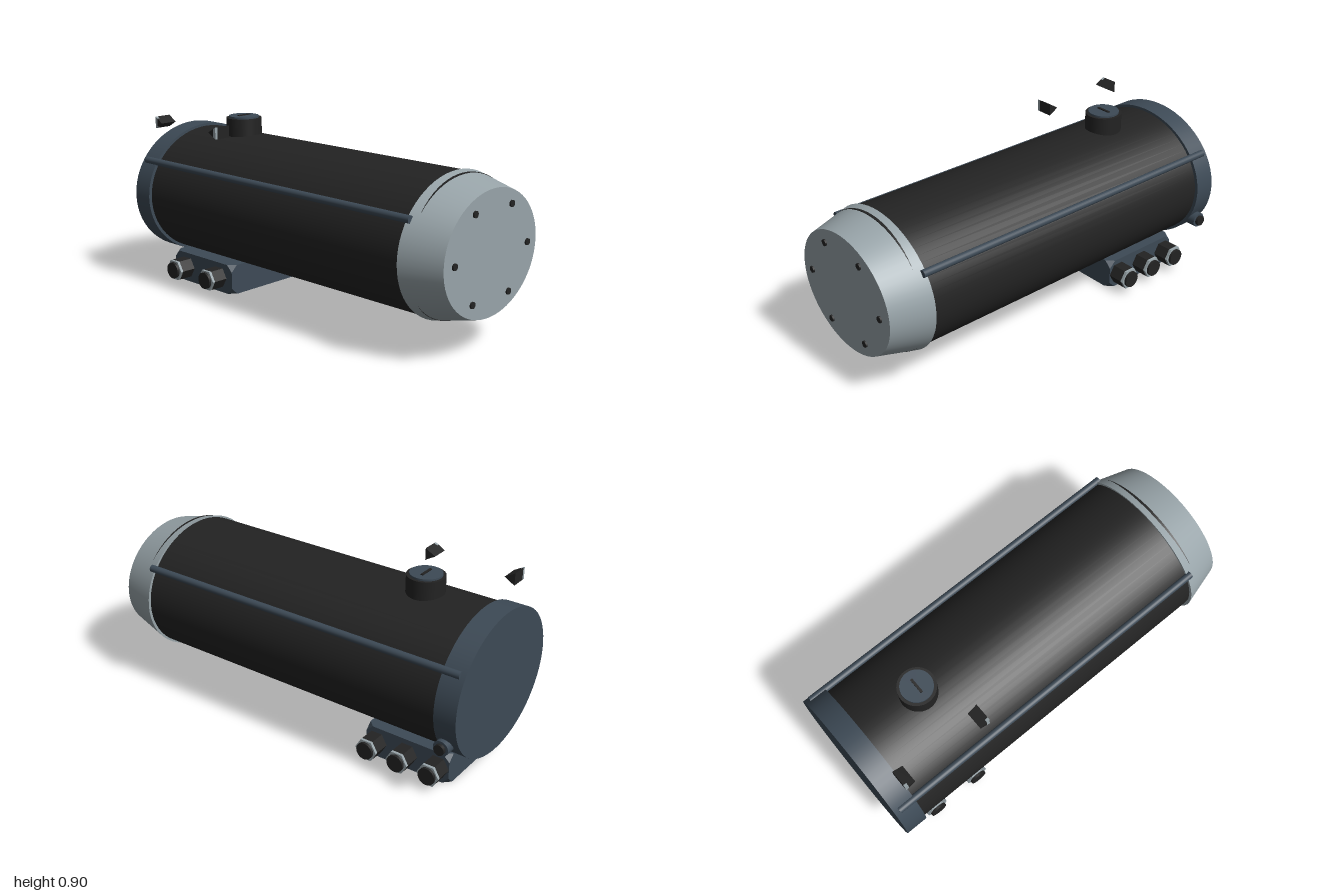
import * as THREE from 'three';
import { ConvexGeometry } from 'three/addons/geometries/ConvexGeometry.js';

const CY = 0.467, CZ = 0.004; // axis of the oval tank

export function createModel() {
  const model = new THREE.Group();
  model.name = 'tank';
  const material = (name, color) => {
    const m = new THREE.MeshStandardMaterial({ color });
    m.name = name;
    return m;
  };
  const black = material('black', 0x232323);
  const slate = material('slate', 0x3d4a56);
  const silver = material('silver', 0x98a4a9);
  const flatBlack = black, flatSilver = silver;

  const add = (name, geometry, mat, x = 0, y = 0, z = 0) => {
    const mesh = new THREE.Mesh(geometry, mat);
    mesh.name = name;
    mesh.position.set(x, y, z);
    model.add(mesh);
    return mesh;
  };
  // Oval drum along x; taper shrinks the +x end
  const drum = (name, mat, x0, x1, ry, rz, taper = 1) => {
    const g = new THREE.CylinderGeometry(taper, 1, x1 - x0, 64);
    g.rotateZ(-Math.PI / 2).scale(1, ry, rz);
    add(name, g, mat, (x0 + x1) / 2, CY, CZ);
  };
  // Round rod along z
  const zRod = (name, mat, x, y, z0, z1, r, sides = 24) => {
    let g = new THREE.CylinderGeometry(r, r, Math.abs(z1 - z0), sides);
    g.rotateX(Math.PI / 2);
    if (sides === 6) {
      g.rotateZ(Math.PI / 2); // corners to the sides
      g = g.toNonIndexed();
      g.computeVertexNormals();
    }
    add(name, g, mat, x, y, (z0 + z1) / 2);
  };

  // Tank, rear collar and tapered end cap
  drum('body', black, -0.9, 0.835, 0.333, 0.382);
  drum('collar', slate, -1, -0.89, 0.346, 0.399);
  drum('endCap', silver, 0.79, 0.992, 0.341, 0.397, 0.853);

  // Six screws on the end cap
  for (let i = 0; i < 6; i++) {
    const a = i * Math.PI / 3;
    const g = new THREE.CylinderGeometry(0.016, 0.016, 0.02, 12).rotateZ(-Math.PI / 2);
    add('capScrew', g, black, 0.99, CY + 0.232 * Math.sin(a), CZ + 0.267 * Math.cos(a));
  }

  // Side rails
  for (const s of [-1, 1]) {
    const g = new THREE.CylinderGeometry(0.018, 0.018, 1.785, 20).rotateZ(Math.PI / 2);
    add('sideRail', g, slate, -0.083, 0.65, CZ + s * 0.335);
  }

  // Filler knob with slotted lid
  add('knob', new THREE.CylinderGeometry(0.091, 0.091, 0.13, 40), black, -0.585, 0.817, CZ);
  add('knobLid', new THREE.CylinderGeometry(0.077, 0.077, 0.02, 40), slate, -0.585, 0.881, CZ);
  add('knobSlot', new THREE.BoxGeometry(0.012, 0.009, 0.078), black, -0.585, 0.8915, CZ);

  // Junction block with cut corners
  const hx = 0.226, hy = 0.0775, hz = 0.235, cut = 0.035, points = [];
  for (const sx of [-1, 1]) for (const sy of [-1, 1]) for (const sz of [-1, 1]) {
    points.push(
      new THREE.Vector3(sx * (hx - cut), sy * hy, sz * hz),
      new THREE.Vector3(sx * hx, sy * (hy - cut), sz * hz),
      new THREE.Vector3(sx * hx, sy * hy, sz * (hz - cut)));
  }
  add('junctionBlock', new ConvexGeometry(points), slate, -0.667, hy, CZ);

  // Hexagonal cable glands: two in front, three behind
  const gland = (x, s) => {
    const z = (d) => CZ + s * d;
    zRod('glandBody', flatBlack, x, 0.08, z(0.22), z(0.312), 0.057, 6);
    zRod('glandRing', flatSilver, x, 0.08, z(0.312), z(0.326), 0.057, 6);
    zRod('glandCap', black, x, 0.08, z(0.326), z(0.339), 0.043);
  };
  for (const x of [-0.795, -0.54]) gland(x, 1);
  for (const x of [-0.835, -0.667, -0.499]) gland(x, -1);

  // Small port at the back of the collar
  zRod('portBase', slate, -0.93, 0.297, -0.3, -0.387, 0.038);
  zRod('portPlug', black, -0.93, 0.297, -0.38, -0.403, 0.026);

  // Pair of loose wedges beside the knob, points facing inward
  const prism = (name, mat, pts, z0, z1) => {
    const shape = new THREE.Shape(pts.map(([x, y]) => new THREE.Vector2(x, y)));
    const g = new THREE.ExtrudeGeometry(shape, { depth: z1 - z0, bevelEnabled: false });
    add(name, g, mat, 0, 0.856, z0);
  };
  for (const [edge, s] of [[-0.905, 1], [-0.435, -1]]) {
    const outer = edge, mid = edge + s * 0.016, tip = edge + s * 0.052;
    const strip = [[outer, -0.03], [mid, -0.021], [mid, 0.021], [outer, 0.03]];
    prism('wedgeTip', black, [[mid, -0.021], [tip, 0], [mid, 0.021]], 0.24, 0.33);
    prism('wedgeBase', black, strip, 0.24, 0.316);
    prism('wedgeRing', silver, strip, 0.316, 0.33);
  }
  return model;
}
